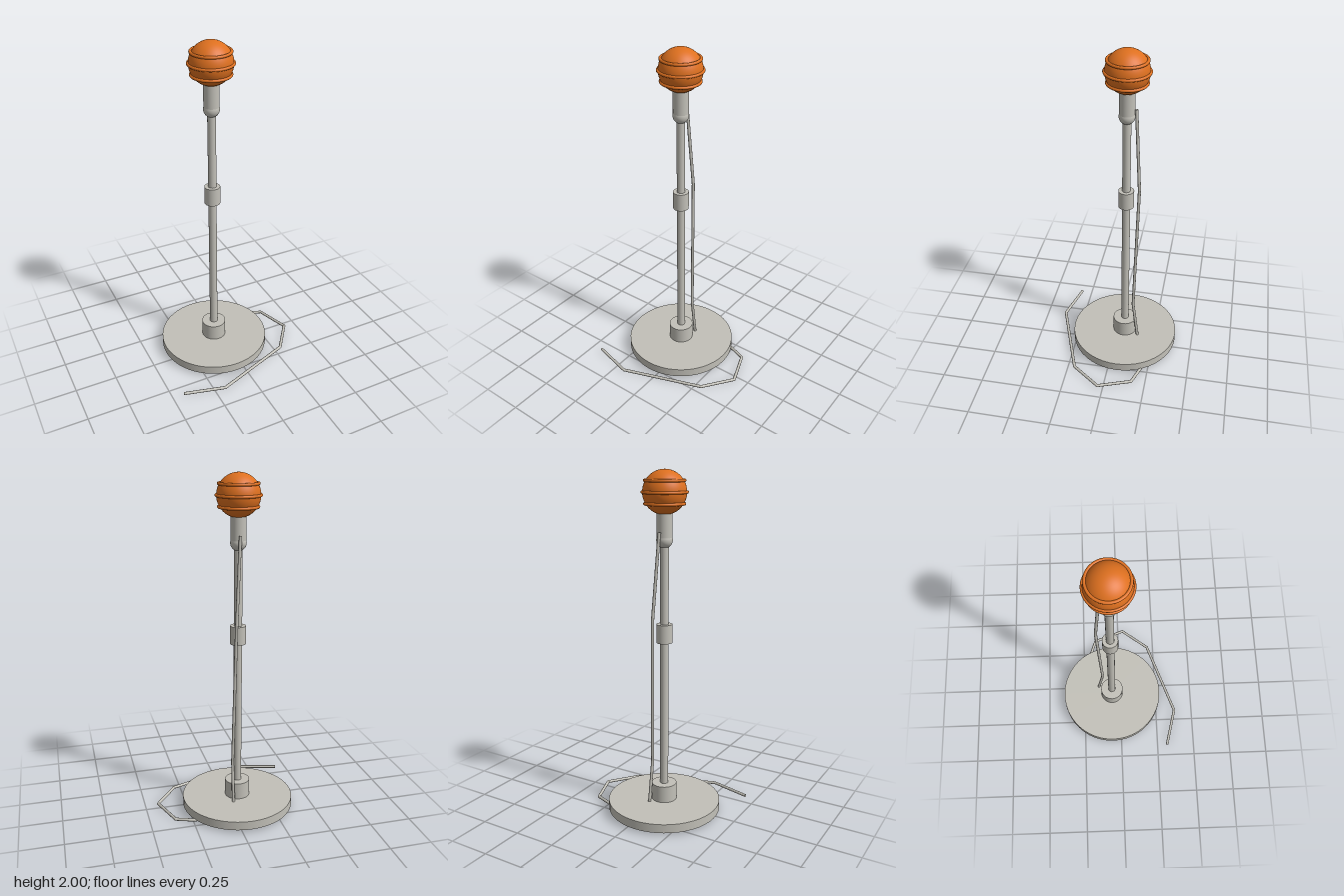
import * as THREE from 'three';

const metal = new THREE.MeshStandardMaterial({ color: 0xc2c0b8 });
metal.name = 'warm grey metal';
const foam = new THREE.MeshStandardMaterial({ color: 0xde701f });
foam.name = 'orange windscreen';

function add(parent, name, geometry, material, y = 0) {
  const mesh = new THREE.Mesh(geometry, material);
  mesh.name = name;
  mesh.position.y = y;
  parent.add(mesh);
  return mesh;
}

// Upright cylinder between two heights
function post(parent, name, radius, y0, y1, sides = 32) {
  return add(parent, name, new THREE.CylinderGeometry(radius, radius, y1 - y0, sides), metal, (y0 + y1) / 2);
}

// Straight cable runs joined by small balls at the bends
function cable(name, radius, coords) {
  const group = new THREE.Group();
  group.name = name;
  const points = coords.map((c) => new THREE.Vector3(...c));
  const up = new THREE.Vector3(0, 1, 0);
  for (let i = 0; i < points.length - 1; i++) {
    const dir = points[i + 1].clone().sub(points[i]);
    const run = add(group, 'cableRun', new THREE.CylinderGeometry(radius, radius, dir.length(), 12), metal);
    run.position.copy(points[i]).addScaledVector(dir, 0.5);
    run.quaternion.setFromUnitVectors(up, dir.normalize());
    if (i > 0) add(group, 'cableBend', new THREE.SphereGeometry(radius, 12, 8), metal).position.copy(points[i]);
  }
  return group;
}

export function createModel() {
  const model = new THREE.Group();
  model.name = 'microphoneStand';

  // Stand, off centre because the floor cable spreads to one side
  const stand = new THREE.Group();
  stand.name = 'stand';
  stand.position.set(-0.058, 0, -0.056);
  model.add(stand);
  post(stand, 'base', 0.334, 0.013, 0.066, 48);
  post(stand, 'baseHub', 0.074, 0.06, 0.167);
  post(stand, 'pole', 0.024, 0.16, 1.6, 24);
  post(stand, 'heightClutch', 0.046, 1.037, 1.145);

  // Microphone: swivel ball, handle and ringed windscreen
  add(stand, 'swivelBall', new THREE.SphereGeometry(0.046, 32, 20), metal, 1.62);
  post(stand, 'handle', 0.044, 1.63, 1.8);
  const headY = 1.878;
  add(stand, 'windscreen', new THREE.SphereGeometry(0.122, 48, 32), foam, headY);
  for (const [dy, radius] of [[-0.062, 0.109], [0, 0.123], [0.062, 0.109]]) {
    const ring = new THREE.TorusGeometry(radius, 0.0085, 12, 48).rotateX(Math.PI / 2);
    add(stand, 'windscreenRing', ring, foam, headY + dy);
  }

  // Cable hanging down the back of the pole
  model.add(cable('hangingCable', 0.009, [
    [-0.055, 1.665, -0.108], [-0.028, 1.17, -0.137], [-0.013, 0.32, -0.115], [-0.01, 0.062, -0.147],
  ]));

  // Cable lying on the floor around the base
  model.add(cable('floorCable', 0.009, [
    [-0.43, 0.009, 0.316], [-0.186, 0.009, 0.379], [0.291, 0.009, 0.208],
    [0.421, 0.009, 0.035], [0.35, 0.009, -0.165], [0.23, 0.009, -0.208],
  ]));
  return model;
}
